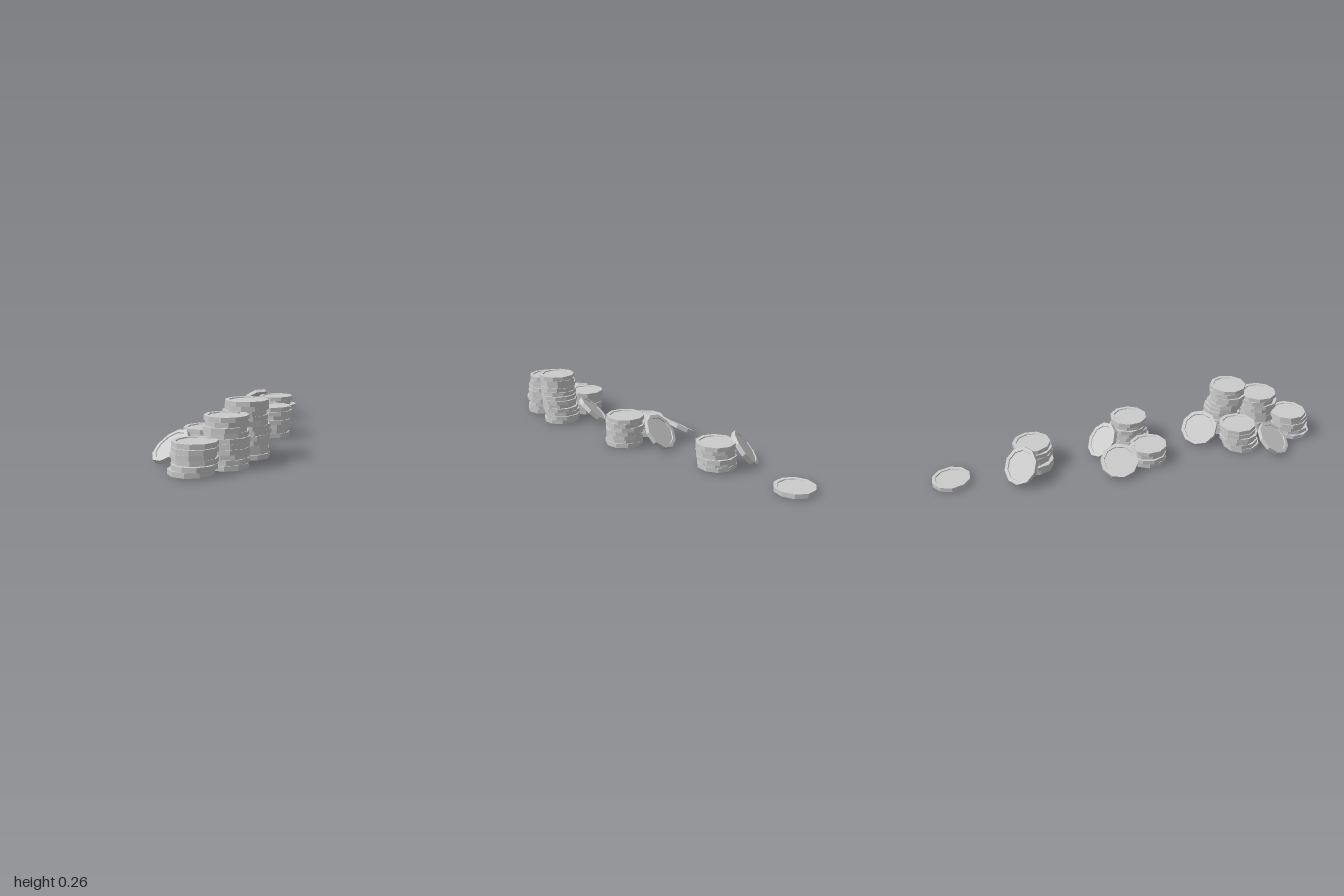
import * as THREE from 'three';

const R = 0.095, H = 0.0213, BASE = 0.003;

// Ten-sided coin: flat underside, raised rim around a recessed top face
function coinGeometry() {
  const h = H / 2, inner = 0.077, recess = 0.005;
  const profile = [[0, -h], [R, -h], [R, h], [inner, h], [inner - 0.002, h - recess], [0, h - recess]]
    .map(([x, y]) => new THREE.Vector2(x, y));
  return new THREE.LatheGeometry(profile, 10, Math.PI / 2);
}

// Small seeded generator giving values in -1..1
function seeded(seed) {
  return () => {
    seed = (seed * 16807) % 2147483647;
    return (seed / 2147483647) * 2 - 1;
  };
}

export function createModel() {
  const model = new THREE.Group();
  const rand = seeded(4711);
  const geometry = coinGeometry();
  const material = new THREE.MeshStandardMaterial({ color: 0xcccccc, flatShading: true });

  const coin = (name, x, y, z) => {
    const mesh = new THREE.Mesh(geometry, material);
    mesh.name = name;
    mesh.position.set(x, y, z);
    return mesh;
  };

  // Stacks: number of coins, top coin x/z, bottom coin x/z
  const stacks = [
    [6, 0.0, 0.875, 0.0, 0.9],
    [10, 0.09, 0.735, 0.1, 0.75],
    [12, 0.135, 0.577, 0.13, 0.54],
    [6, -0.055, 0.565, -0.06, 0.585],
    [4, -0.066, 0.08, -0.063, 0.083],
    [7, 0.125, 0.025, 0.12, 0.03],
    [6, 0.035, -0.5, 0.012, -0.488],
  ];
  stacks.forEach(([count, tx, tz, bx, bz], s) => {
    const stack = new THREE.Group();
    stack.name = `coinStack${s + 1}`;
    for (let i = 0; i < count; i++) {
      const t = i / (count - 1);
      const loose = i === count - 1 ? 0 : 0.009;
      const mesh = coin('coin',
        THREE.MathUtils.lerp(bx, tx, t) + rand() * loose,
        BASE + H * (i + 0.5),
        THREE.MathUtils.lerp(bz, tz, t) + rand() * loose);
      mesh.rotation.y = rand() * Math.PI;
      stack.add(mesh);
    }
    model.add(stack);
  });

  // Coins leaning on stacks: x, z, tilt, heading of the face (degrees from -z towards -x)
  const leaning = [
    [-0.093, -0.57, 51, 38],
    [-0.14, -0.09, 30, 78],
    [0.035, -0.135, 50, 15],
    [0.035, 0.39, 42, 52],
    [-0.153, 0.73, 39, 135],
  ];
  const up = new THREE.Vector3(0, 1, 0);
  leaning.forEach(([x, z, tiltDeg, headingDeg], i) => {
    const tilt = THREE.MathUtils.degToRad(tiltDeg), heading = THREE.MathUtils.degToRad(headingDeg);
    const normal = new THREE.Vector3(
      -Math.sin(tilt) * Math.sin(heading), Math.cos(tilt), -Math.sin(tilt) * Math.cos(heading));
    const y = R * Math.sin(tilt) + (H / 2) * Math.cos(tilt);
    const mesh = coin(`leaningCoin${i + 1}`, x, y, z);
    mesh.quaternion.setFromUnitVectors(up, normal);
    model.add(mesh);
  });

  // Single coin lying flat at the back
  model.add(coin('looseCoin', -0.02, BASE + H / 2, -0.91));

  return model;
}
